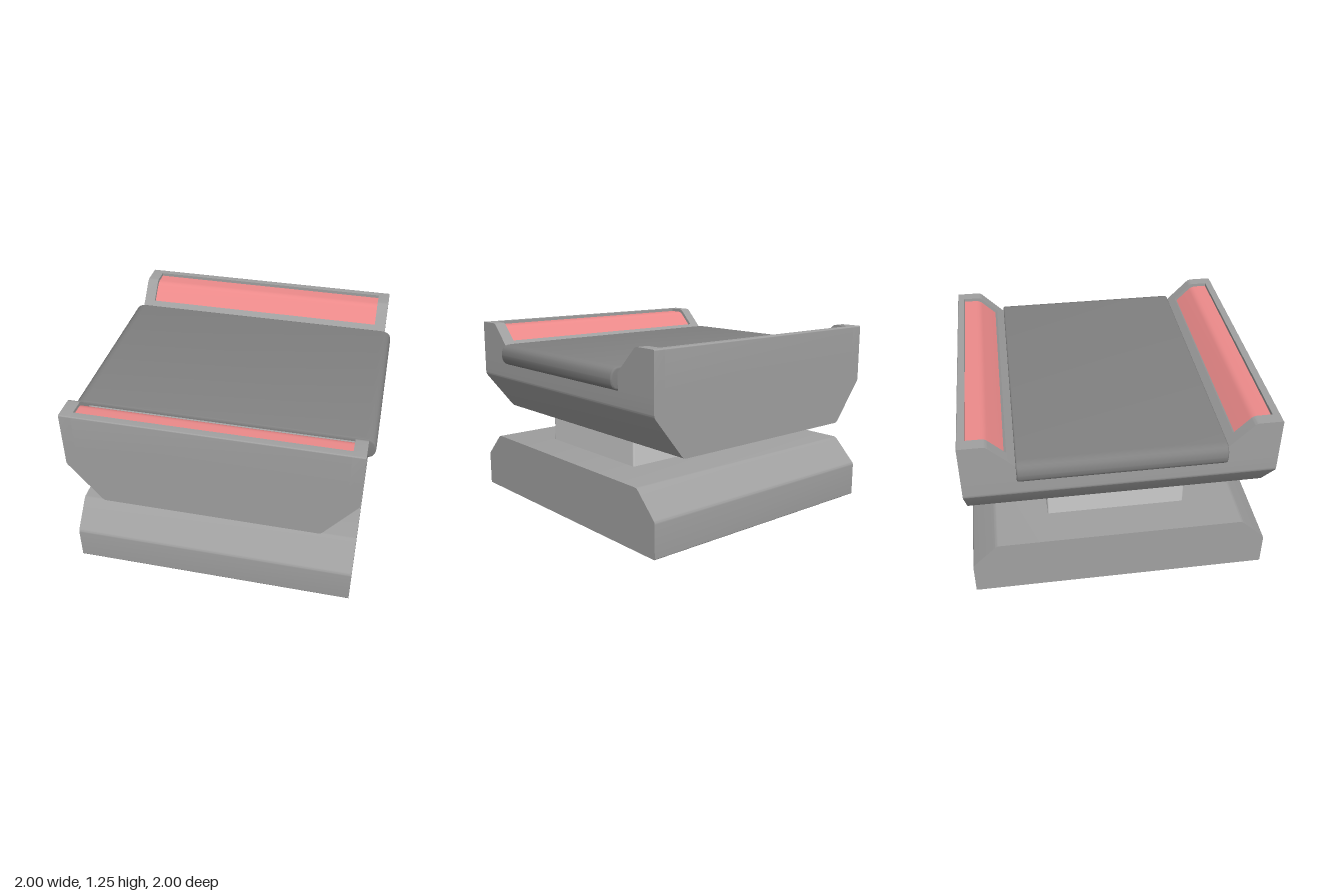
import * as THREE from 'three';
import { toCreasedNormals } from 'three/addons/utils/BufferGeometryUtils.js';
import { RoundedBoxGeometry } from 'three/addons/geometries/RoundedBoxGeometry.js';

const paint = (color) => new THREE.MeshStandardMaterial({ color });
const lightGrey = paint(0xcccccc);
const midGrey = paint(0xa0a0a0);
const darkGrey = paint(0x818181);
const red = paint(0xec8a8a);

// Outline from [x, y, cornerRadius] points; the radius is optional
function softShape(points) {
  const pts = points.map(([x, y]) => new THREE.Vector2(x, y));
  const shape = new THREE.Shape();
  pts.forEach((p, i) => {
    const r = points[i][2] ?? 0;
    const toward = (q) => p.clone().add(q.clone().sub(p).setLength(r));
    const a = toward(pts[(i + pts.length - 1) % pts.length]);
    const b = toward(pts[(i + 1) % pts.length]);
    if (i === 0) shape.moveTo(a.x, a.y);
    else shape.lineTo(a.x, a.y);
    if (r > 0) shape.quadraticCurveTo(p.x, p.y, b.x, b.y);
  });
  shape.closePath();
  return shape;
}

// Extrusion centred on the origin along z, or along x with the outline read as (z, y)
function prism(name, points, length, material, { alongX = false, offset = 0, bevel = 0 } = {}) {
  const depth = length - 2 * bevel;
  const geo = new THREE.ExtrudeGeometry(softShape(points), {
    depth, curveSegments: 5, bevelEnabled: bevel > 0, bevelSegments: 3,
    bevelSize: bevel, bevelThickness: bevel, bevelOffset: -bevel,
  });
  geo.translate(0, 0, -depth / 2);
  if (alongX) geo.rotateY(-Math.PI / 2);
  const mesh = new THREE.Mesh(toCreasedNormals(geo, 0.6), material);
  mesh.name = name;
  mesh.position.x = offset;
  return mesh;
}

const mirrored = (half) => [...half, ...half.map(([x, y, r]) => [-x, y, r]).reverse()];

// Raised end rail with a pocket holding a coloured pad
function endRail(name) {
  const rail = new THREE.Group();
  rail.name = name;
  const full = [[0.66, 0.97], [1, 0.97], [1, 1.25, 0.008], [0.83, 1.25, 0.02], [0.66, 1.08]];
  const pocketed = [[0.66, 0.97], [1, 0.97], [1, 1.25, 0.008], [0.95, 1.25], [0.95, 1.22],
    [0.842, 1.22], [0.731, 1.109], [0.71, 1.13], [0.66, 1.08]];
  const pad = [[0.731, 1.109], [0.842, 1.22], [0.95, 1.22], [0.95, 1.228],
    [0.839, 1.228, 0.03], [0.7255, 1.1145]];
  rail.add(prism('railMiddle', pocketed, 1.74, midGrey, { alongX: true }));
  for (const side of [-1, 1]) {
    rail.add(prism('railEnd', full, 0.08, midGrey, { alongX: true, offset: side * 0.91 }));
  }
  rail.add(prism('pad', pad, 1.74, red, { alongX: true }));
  return rail;
}

export function createModel() {
  const model = new THREE.Group();
  model.name = 'pedestalBlock';

  // Base, chamfered front and back
  const baseHalf = [[1, 0, 0.008], [1, 0.235, 0.015], [0.83, 0.405, 0.02]];
  model.add(prism('base', mirrored(baseHalf), 1.9, midGrey, { alongX: true }));

  // Neck
  const neck = new THREE.Mesh(new RoundedBoxGeometry(1.38, 0.24, 0.945, 2, 0.012), lightGrey);
  neck.name = 'neck';
  neck.position.y = 0.49;
  model.add(neck);

  // Upper body, tapering inward below
  const bodyHalf = [[0.725, 0.578, 0.02], [0.95, 0.86, 0.015], [0.95, 0.97]];
  model.add(prism('upperBody', mirrored(bodyHalf), 2, midGrey));

  // Rails at front and back
  const front = endRail('frontRail');
  const back = endRail('backRail');
  back.rotation.y = Math.PI;
  model.add(front, back);

  // Round-edged plate lying between the rails
  const plateHalf = [[1, 0.967, 0.072], [1, 1.115, 0.072]];
  model.add(prism('plate', mirrored(plateHalf), 1.32, darkGrey, { bevel: 0.012 }));

  return model;
}
